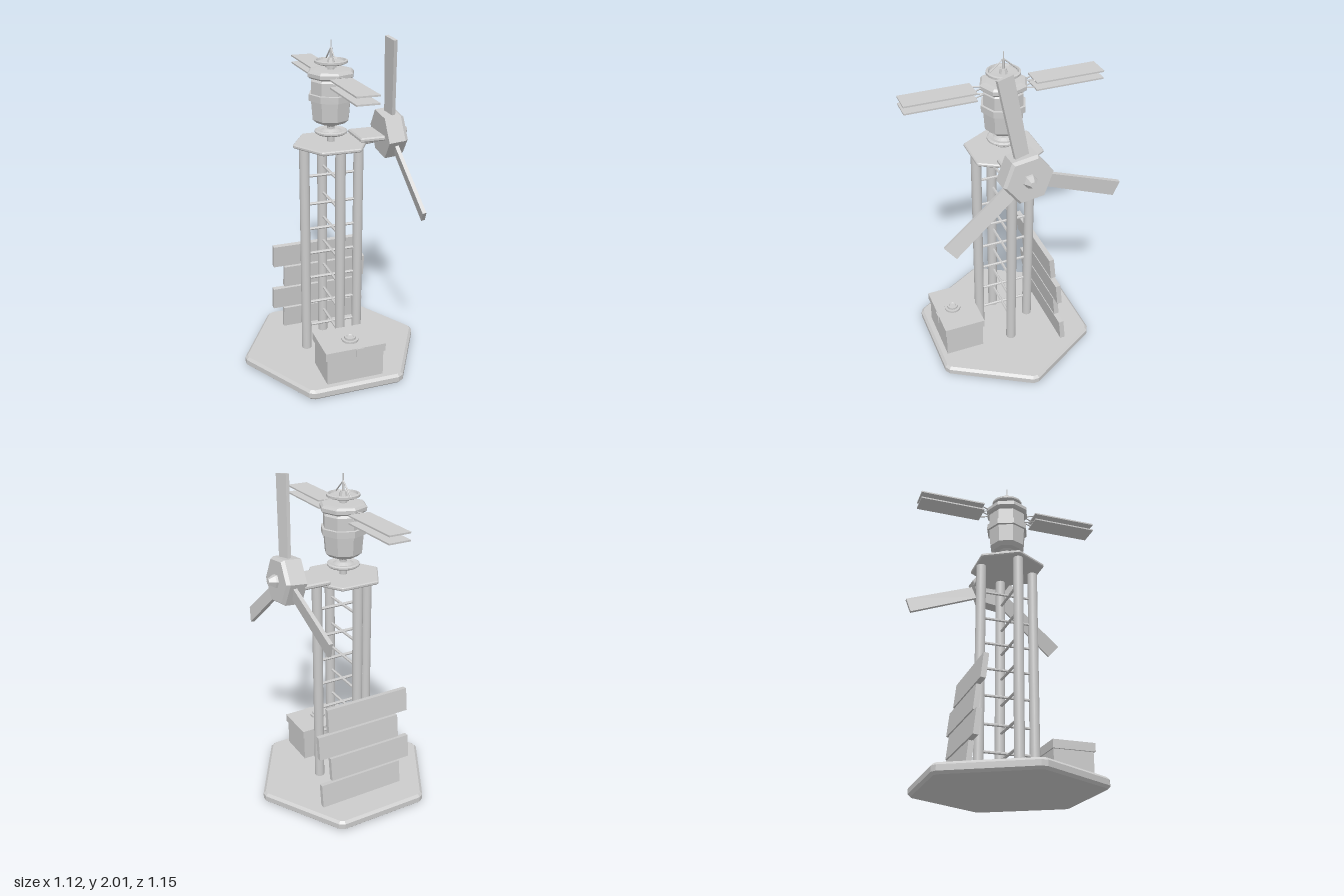
import * as THREE from 'three';

const flat = new THREE.MeshStandardMaterial({ color: 0xcccccc, flatShading: true, side: THREE.DoubleSide });
const smooth = new THREE.MeshStandardMaterial({ color: 0xcccccc });

export function createModel() {
  const model = new THREE.Group();

  function add(name, geometry, x = 0, y = 0, z = 0, parent = model, material = flat) {
    const mesh = new THREE.Mesh(geometry, material);
    mesh.name = name;
    mesh.position.set(x, y, z);
    parent.add(mesh);
    return mesh;
  }
  const box = (w, h, d) => new THREE.BoxGeometry(w, h, d);
  const lathe = (points, sides) =>
    new THREE.LatheGeometry(points.map(p => new THREE.Vector2(...p)), sides);

  // Straight round bar between two points
  function bar(name, from, to, radius, sides = 6, parent = model) {
    const a = new THREE.Vector3(...from), b = new THREE.Vector3(...to);
    const dir = b.clone().sub(a);
    const mid = a.clone().add(b).multiplyScalar(0.5);
    const mesh = add(name, new THREE.CylinderGeometry(radius, radius, dir.length(), sides),
      mid.x, mid.y, mid.z, parent, sides > 8 ? smooth : flat);
    mesh.quaternion.setFromUnitVectors(new THREE.Vector3(0, 1, 0), dir.normalize());
  }

  // Bevelled hexagonal slab with clipped corners, pointing along x
  function hexSlab(radius, height, bevel, clip) {
    const points = [];
    const r = radius - bevel * 1.15;
    for (let i = 0; i < 6; i++) {
      const corner = k => new THREE.Vector2(Math.cos(k * Math.PI / 3), Math.sin(k * Math.PI / 3)).multiplyScalar(r);
      points.push(corner(i).lerp(corner(i - 1), clip), corner(i).lerp(corner(i + 1), clip));
    }
    const geometry = new THREE.ExtrudeGeometry(new THREE.Shape(points),
      { depth: height - 2 * bevel, bevelThickness: bevel, bevelSize: bevel, bevelSegments: 1 });
    return geometry.translate(0, 0, bevel).rotateX(-Math.PI / 2);
  }

  add('base', hexSlab(0.57, 0.062, 0.015, 0.03));
  add('topPlatform', hexSlab(0.232, 0.022, 0.006, 0.02), 0, 1.385, 0);

  // Tower legs and crossing rungs
  const off = 0.013, reach = 0.167;
  for (const s of [-1, 1]) {
    bar('towerLeg', [s * reach, 0.05, off], [s * reach, 1.39, off], 0.03, 16);
    bar('towerLeg', [0, 0.05, s * reach], [0, 1.39, s * reach], 0.03, 16);
  }
  for (const y of [0.22, 0.38, 0.55, 0.715, 0.875, 1.035, 1.21]) {
    bar('sideRung', [-reach, y, off], [reach, y, off], 0.009);
    bar('frontRung', [0, y, -reach], [0, y, reach], 0.009);
  }

  // Supply crate with lid, knob and latch
  const crate = new THREE.Group();
  crate.name = 'crate';
  crate.position.set(0, 0.06, 0.328);
  model.add(crate);
  add('crateBody', box(0.35, 0.17, 0.24), 0, 0.085, 0, crate);
  add('crateLid', box(0.372, 0.05, 0.256), 0, 0.19, 0, crate);
  add('latch', box(0.045, 0.055, 0.012), 0.022, 0.187, 0.128, crate);
  add('lidKnob', lathe([[0, 0], [0.05, 0], [0.05, 0.013], [0.035, 0.013], [0.035, 0.026], [0.022, 0.026], [0.018, 0.02], [0, 0.02]], 16),
    0, 0.215, 0.022, crate);

  // Leaning planks, staggered left and right
  for (let i = 0; i < 4; i++) {
    const plank = add('plank', box(0.545, 0.146, 0.031), i % 2 ? -0.034 : 0.037, 0.133 + i * 0.158, -0.285 + i * 0.018);
    plank.rotation.x = 0.114;
  }

  // Mast head: foot dish, canister, collar
  add('mastFoot', new THREE.CylinderGeometry(0.022, 0.022, 0.13, 12), 0, 1.465, 0, model, smooth);
  add('footDish', lathe([[0, 1.455], [0.085, 1.455], [0.095, 1.463], [0.095, 1.472], [0.085, 1.478],
    [0.06, 1.473], [0.04, 1.485], [0.022, 1.485]], 20));
  add('canisterNeck', lathe([[0.015, 1.49], [0.035, 1.51], [0.05, 1.525]], 8));
  add('canister', lathe([[0, 1.522], [0.085, 1.522], [0.11, 1.543], [0.119, 1.655], [0.119, 1.765],
    [0.105, 1.78], [0, 1.78]], 8));
  add('canisterBand', lathe([[0.11, 1.652], [0.132, 1.655], [0.132, 1.692], [0.11, 1.696]], 8));
  add('collar', lathe([[0.1, 1.775], [0.125, 1.782], [0.137, 1.792], [0.137, 1.812], [0.125, 1.824],
    [0.1, 1.826], [0, 1.826]], 8));

  // Open dish with antenna and braces
  add('dishStem', lathe([[0.02, 1.82], [0.02, 1.836], [0.033, 1.838], [0.033, 1.85], [0.02, 1.852], [0.02, 1.87]], 12));
  add('dish', lathe([[0, 1.855], [0.08, 1.858], [0.095, 1.865], [0.095, 1.877], [0.083, 1.88],
    [0.078, 1.868], [0, 1.864]], 24));
  add('antennaHub', new THREE.CylinderGeometry(0.018, 0.026, 0.03, 8), 0, 1.877, 0);
  bar('antenna', [0, 1.86, 0], [0, 1.945, 0], 0.008, 8);
  bar('antennaTip', [0, 1.94, 0], [0, 1.99, 0], 0.003, 6);

  // Stacked panels reaching forward and back
  for (const s of [-1, 1]) {
    bar('dishBrace', [0, 1.873, s * 0.085], [0, 1.948, 0], 0.004);
    for (const y of [1.76, 1.802]) {
      add('panel', box(0.13, 0.009, 0.405), 0, y, s * 0.373);
      for (const side of [-1, 1])
        bar('panelStrut', [0, y, s * 0.11], [side * 0.035, y, s * 0.185], 0.004);
    }
  }

  // Bracket carrying the rotor
  const b = 0.008;
  const outline = new THREE.Shape([[0.15 + b, -0.125 + b], [0.3, -0.125 + b], [0.3, 0.095 - b], [0.15 + b, 0.095 - b]]
    .map(([x, z]) => new THREE.Vector2(x, -z)).reverse());
  add('rotorBracket', new THREE.ExtrudeGeometry(outline,
    { depth: 0.012, bevelThickness: b, bevelSize: b, bevelSegments: 1 }).rotateX(-Math.PI / 2), 0, 1.412, 0);

  // Rotor: built facing +z, then turned to face +x and tipped up
  const rotor = new THREE.Group();
  rotor.name = 'rotor';
  rotor.position.set(0.36, 1.43, 0.014);
  rotor.rotation.set(0, Math.PI / 2, 0.085, 'ZYX');
  model.add(rotor);
  const phase = 8 * Math.PI / 180;
  const facing = (points) => lathe(points, 6).rotateX(Math.PI / 2).rotateZ(Math.PI / 2 + phase);
  add('rotorHub', facing([[0, -0.06], [0.147, -0.06], [0.147, 0.04], [0.132, 0.06], [0, 0.06]]), 0, 0, 0, rotor);
  add('spinner', facing([[0.042, 0.055], [0.038, 0.072], [0.018, 0.108], [0, 0.108]]), 0, 0, 0, rotor);
  for (let i = 0; i < 3; i++) {
    const arm = new THREE.Group();
    arm.name = 'bladeArm';
    arm.rotation.z = (10 + i * 120) * Math.PI / 180;
    rotor.add(arm);
    const geometry = box(0.094, 0.5, 0.022);
    const p = geometry.attributes.position;
    // Narrower at the root, thinner at the tip edges
    for (let k = 0; k < p.count; k++)
      if (p.getY(k) < 0) p.setX(k, p.getX(k) * 0.88);
    const blade = add('blade', geometry, 0, 0.332, 0, arm);
    blade.rotation.y = 0.17;
  }
  return model;
}
